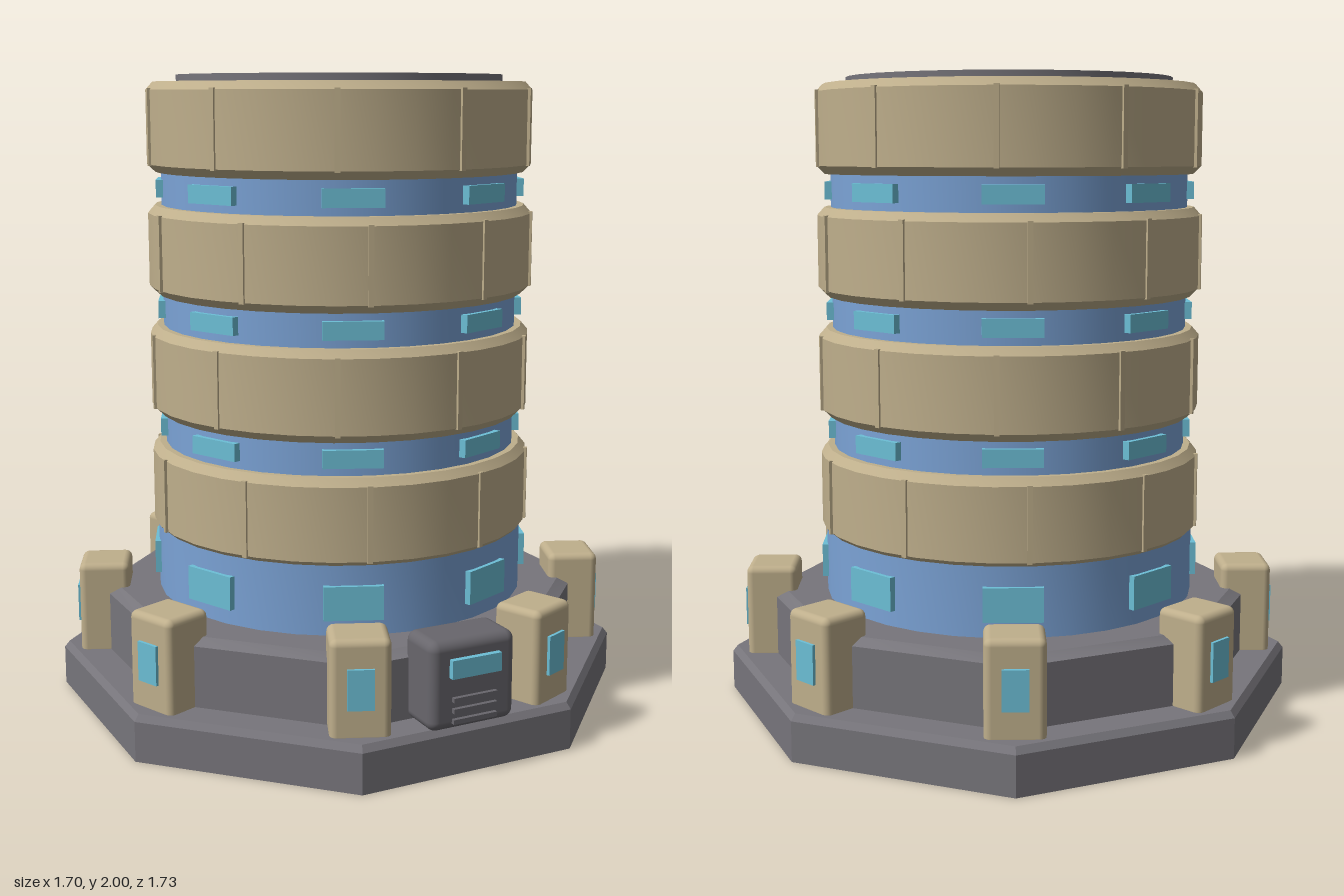
import * as THREE from 'three';
import { toCreasedNormals } from 'three/addons/utils/BufferGeometryUtils.js';
import { RoundedBoxGeometry } from 'three/addons/geometries/RoundedBoxGeometry.js';

const mat = (name, color) => new THREE.MeshStandardMaterial({ name, color });

export function createModel() {
  const gray = mat('gray metal', 0x77757b);
  const darkGray = mat('dark gray metal', 0x68666c);
  const tan = mat('tan panel', 0xbfaf8c);
  const blue = mat('blue wall', 0x7ba3d6);
  const cyan = mat('cyan window', 0x6cbfd6);

  const model = new THREE.Group();
  model.name = 'roundTower';
  const body = new THREE.Group();
  body.name = 'towerBody';
  body.position.z = -0.02;
  model.add(body);

  const add = (parent, name, geometry, material, x = 0, y = 0, z = 0) => {
    const mesh = new THREE.Mesh(geometry, material);
    mesh.name = name;
    mesh.position.set(x, y, z);
    parent.add(mesh);
    return mesh;
  };

  // Solid of revolution from [radius, y] pairs, bottom to top
  const turned = (profile, sides = 32) => {
    const k = sides === 8 ? 1 / Math.cos(Math.PI / 8) : 1;
    const pts = profile.map(([r, y]) => new THREE.Vector2(r * k, y));
    return toCreasedNormals(new THREE.LatheGeometry(pts, sides, Math.PI / sides), 0.5);
  };

  // A group turned to face outward at an angle measured from the front
  const spoke = (name, degrees) => {
    const g = new THREE.Group();
    g.name = name;
    g.rotation.y = THREE.MathUtils.degToRad(degrees);
    body.add(g);
    return g;
  };

  // Octagonal foundation and its inner step
  add(body, 'foundation', turned(
    [[0, 0], [0.85, 0], [0.85, 0.125], [0.835, 0.145], [0, 0.145]], 8), gray);
  add(body, 'step', turned(
    [[0, 0.14], [0.735, 0.14], [0.735, 0.18], [0.735, 0.335], [0.7, 0.355], [0, 0.355]], 8), gray);

  // Blue core, wider at the ground floor
  add(body, 'groundFloorWall', turned([[0, 0.35], [0.597, 0.35], [0.597, 0.58], [0, 0.58]]), blue);
  add(body, 'coreWall', turned([[0, 0.58], [0.567, 0.58], [0.567, 1.8], [0, 1.8]]), blue);

  // Four chamfered rings with staggered seams
  for (let i = 0; i < 4; i++) {
    const y = 0.56 + i * 0.3805;
    add(body, 'ring', turned([[0, y], [0.585, y], [0.61, y + 0.025], [0.61, y + 0.252],
      [0.588, y + 0.277], [0, y + 0.277]]), tan);
    for (let k = 0; k < 10; k++) {
      const s = spoke('ringSeam', (i % 2 ? 9 : 18) + k * 36);
      add(s, 'seamStrip', new THREE.BoxGeometry(0.016, 0.235, 0.02), tan, 0, y + 0.139, 0.606);
    }
  }

  // Roof disc
  add(body, 'roof', turned([[0, 1.96], [0.515, 1.96], [0.515, 2], [0, 2]]), gray);

  // Eight bays: ground window, upper windows and an outer pod
  for (let k = 0; k < 8; k++) {
    const s = spoke('bay', 22.5 + k * 45);
    add(s, 'groundWindow', new THREE.BoxGeometry(0.18, 0.105, 0.03), cyan, 0, 0.458, 0.592);
    for (let i = 0; i < 3; i++) {
      add(s, 'upperWindow', new THREE.BoxGeometry(0.18, 0.055, 0.03), cyan, 0, 0.89 + i * 0.38, 0.565);
    }
    add(s, 'pod', new RoundedBoxGeometry(0.178, 0.31, 0.163, 3, 0.022), tan, 0, 0.28, 0.775);
    add(s, 'podWindow', new THREE.BoxGeometry(0.078, 0.122, 0.02), cyan, 0, 0.29, 0.856);
  }

  // Entrance block at the front
  const entrance = new THREE.Group();
  entrance.name = 'entrance';
  model.add(entrance);
  add(entrance, 'entranceBlock', new RoundedBoxGeometry(0.285, 0.27, 0.16, 4, 0.03), darkGray, 0, 0.28, 0.766);
  add(entrance, 'entranceWindow', new THREE.BoxGeometry(0.164, 0.056, 0.025), cyan, 0, 0.335, 0.851);
  for (const y of [0.175, 0.207, 0.24]) {
    add(entrance, 'ventSlat', new THREE.BoxGeometry(0.145, 0.014, 0.02), darkGray, 0, y, 0.849);
  }
  return model;
}
